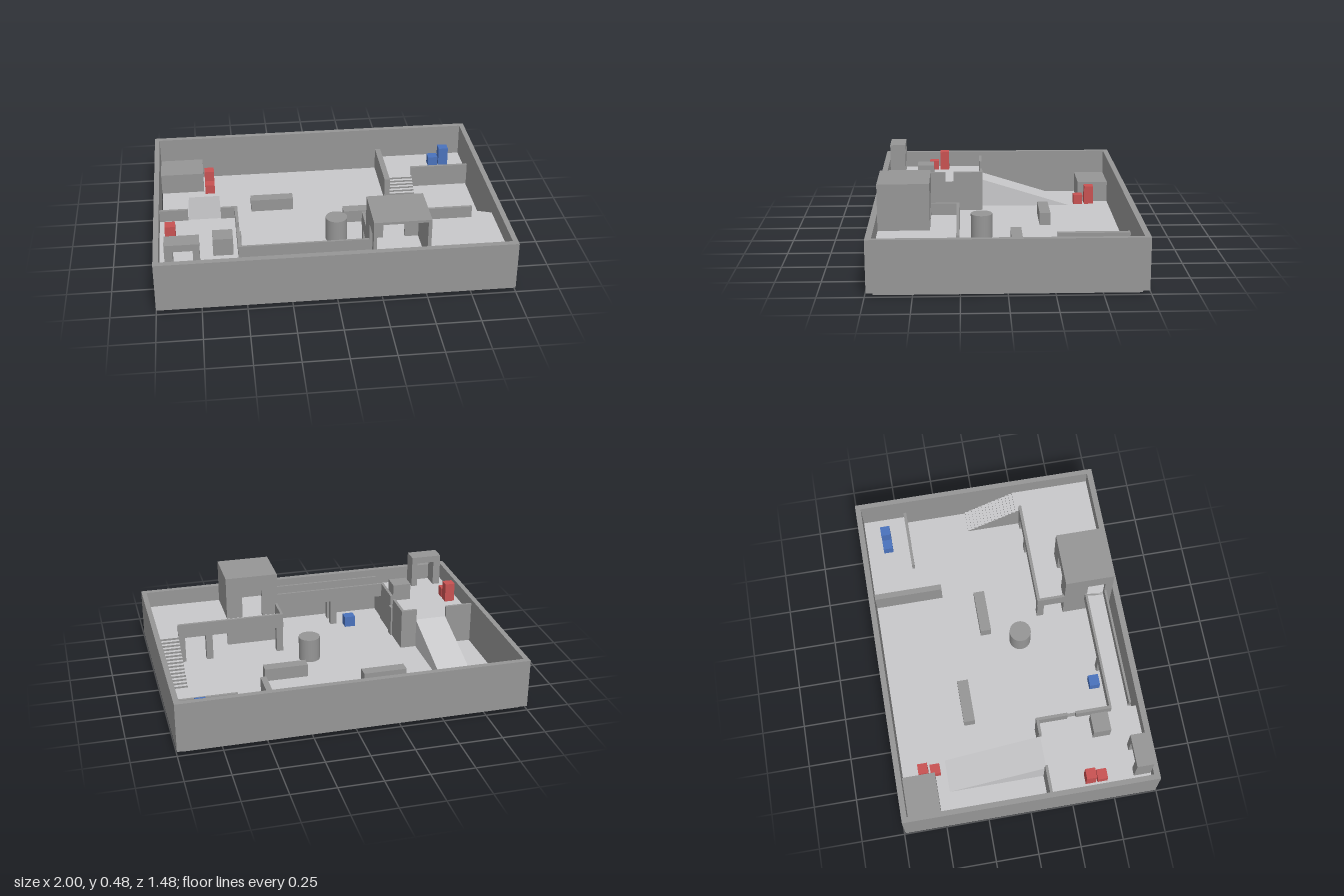
import * as THREE from 'three';

const FLOOR = 0.033, UPPER = 0.212, MID = 0.113, RAIL = 0.282, WALL_TOP = 0.311;

export function createModel() {
  const root = new THREE.Group();
  root.name = 'arena';
  const mat = (name, color) => {
    const m = new THREE.MeshStandardMaterial({ color });
    m.name = name;
    return m;
  };
  const wall = mat('wall grey', 0x969696);
  const floor = mat('floor light grey', 0xc8c8ca);
  const red = mat('crate red', 0xc85252);
  const blue = mat('crate blue', 0x4a72bc);
  // light walking surface on top, wall colour on the sides
  const decked = [wall, wall, floor, wall, wall, wall];
  const slab = [wall, wall, floor, floor, wall, wall];

  const add = (name, geo, material, x = 0, y = 0, z = 0) => {
    const m = new THREE.Mesh(geo, material);
    m.name = name;
    m.position.set(x, y, z);
    root.add(m);
    return m;
  };
  // box given by its limits on each axis
  const box = (name, material, x0, x1, y0, y1, z0, z1) =>
    add(name, new THREE.BoxGeometry(x1 - x0, y1 - y0, z1 - z0), material,
      (x0 + x1) / 2, (y0 + y1) / 2, (z0 + z1) / 2);
  // upright panel facing z, with a rectangular opening
  const panel = (name, x0, x1, y0, y1, z0, z1, hx0, hx1, hy1) => {
    box(name, wall, x0, hx0, y0, y1, z0, z1);
    box(name, wall, hx1, x1, y0, y1, z0, z1);
    box(name, wall, hx0, hx1, hy1, y1, z0, z1);
  };
  // solid steps from z0 (low) to z1 (high)
  const stairs = (name, n, x0, x1, yTop, z0, z1) => {
    const d = (z1 - z0) / n;
    for (let i = 0; i < n; i++) {
      const a = z0 + d * i, b = a + d;
      box(name, decked, x0, x1, FLOOR, FLOOR + (yTop - FLOOR) * (i + 1) / n, Math.min(a, b), Math.max(a, b));
    }
  };

  // base and outer walls
  box('base', slab, -0.967, 0.967, 0, FLOOR, -0.71, 0.708);
  for (const s of [-1, 1]) {
    box('sideWall', wall, Math.min(s, s * 0.97), Math.max(s, s * 0.97), 0.022, WALL_TOP, -0.742, 0.742);
    box('endWall', wall, -0.97, 0.97, 0.022, WALL_TOP, s < 0 ? -0.742 : 0.708, s < 0 ? -0.71 : 0.742);
  }

  // cover blocks and column on the ground
  box('cornerBlock', wall, -0.97, -0.706, FLOOR, 0.162, -0.71, -0.518);
  box('lowBarrier', wall, -0.422, -0.163, FLOOR, 0.11, -0.301, -0.235);
  box('lowBarrier', wall, 0.128, 0.387, FLOOR, 0.11, -0.108, -0.043);
  add('column', new THREE.CylinderGeometry(0.064, 0.064, 0.145, 32), wall, 0.063, FLOOR + 0.0725, 0.125);

  // crates, some stacked two high
  const crate = (m, x, z, y, count) => {
    for (let i = 0; i < count; i++)
      box('crate', m, x - 0.03, x + 0.03, y + i * 0.059, y + (i + 1) * 0.059, z - 0.029, z + 0.029);
  };
  crate(red, -0.668, -0.584, FLOOR, 2);
  crate(red, -0.668, -0.514, FLOOR, 1);
  crate(red, -0.906, 0.355, UPPER, 2);
  crate(red, -0.906, 0.423, UPPER, 1);
  crate(blue, 0.772, -0.583, MID, 1);
  crate(blue, 0.838, -0.583, MID, 2);
  box('groundCrate', blue, -0.327, -0.26, FLOOR, 0.1, 0.482, 0.543);

  // back corner platform with divider, parapet and stairs
  box('backPlatform', decked, 0.45, 0.97, FLOOR, MID, -0.71, -0.44);
  box('dividerWall', wall, 0.418, 0.452, FLOOR, 0.17, -0.71, -0.3);
  box('backParapet', wall, 0.61, 0.97, FLOOR, 0.17, -0.455, -0.438);
  stairs('backStairs', 7, 0.452, 0.612, MID, -0.3, -0.44);

  // raised platform reached by the ramp
  box('rampPlatform', decked, -0.97, -0.525, FLOOR, UPPER, 0.12, 0.708);
  box('rampParapet', wall, -0.97, -0.805, FLOOR, RAIL, 0.11, 0.126);
  box('rampParapet', wall, -0.615, -0.518, FLOOR, RAIL, 0.11, 0.126);
  box('sideParapet', wall, -0.535, -0.518, FLOOR, RAIL, 0.126, 0.295);
  box('sideParapet', wall, -0.535, -0.518, FLOOR, RAIL, 0.345, 0.555);
  box('climbPlate', wall, -0.525, -0.508, FLOOR, UPPER + 0.01, 0.295, 0.345);
  box('platformBlock', wall, -0.673, -0.56, UPPER, 0.317, 0.42, 0.522);

  // ramp wedge
  const profile = new THREE.Shape([
    new THREE.Vector2(0.45, FLOOR), new THREE.Vector2(-0.12, UPPER), new THREE.Vector2(-0.12, FLOOR)]);
  const ramp = new THREE.ExtrudeGeometry(profile, { depth: 0.192, bevelEnabled: false });
  ramp.rotateY(Math.PI / 2);
  add('ramp', ramp, floor, -0.805, 0, 0);

  // small gate on the ramp platform
  panel('gate', -0.935, -0.745, UPPER, 0.41, 0.608, 0.706, -0.89, -0.782, 0.369);

  // bridge with two rails and posts
  box('bridgeDeck', decked, -0.525, 0.2, 0.195, UPPER, 0.55, 0.672);
  box('bridgeRail', wall, -0.52, 0.2, 0.195, RAIL, 0.543, 0.556);
  box('bridgeRail', wall, -0.518, 0.2, 0.195, RAIL, 0.661, 0.674);
  for (const z of [0.545, 0.633])
    box('bridgePost', wall, -0.22, -0.18, FLOOR, 0.195, z, z + 0.038);

  // platform with posts, parapet and stairs
  box('towerPlatform', decked, 0.2, 0.97, 0.195, UPPER, 0.255, 0.708);
  box('longParapet', wall, 0.195, 0.84, 0.195, RAIL, 0.253, 0.27);
  box('shortParapet', wall, 0.195, 0.21, 0.195, RAIL, 0.27, 0.42);
  for (const x of [0.197, 0.633, 0.8])
    box('platformPost', wall, x, x + 0.04, FLOOR, 0.195, 0.256, 0.296);
  stairs('longStairs', 15, 0.84, 0.97, UPPER, -0.068, 0.255);

  // tower: open front, doorway at the back and towards the bridge
  box('towerBase', wall, 0.195, 0.215, FLOOR, UPPER, 0.418, 0.708);
  box('towerBase', wall, 0.215, 0.514, FLOOR, 0.195, 0.418, 0.438);
  box('towerRoof', wall, 0.195, 0.514, 0.463, 0.478, 0.418, 0.708);
  box('towerSide', wall, 0.494, 0.514, UPPER, 0.463, 0.418, 0.708);
  box('towerSide', wall, 0.195, 0.213, UPPER, 0.463, 0.418, 0.556);
  box('towerSide', wall, 0.195, 0.213, UPPER, 0.463, 0.661, 0.708);
  box('towerLintel', wall, 0.195, 0.213, 0.38, 0.463, 0.556, 0.661);
  panel('towerBack', 0.213, 0.494, UPPER, 0.463, 0.418, 0.436, 0.292, 0.416, 0.38);

  return root;
}
